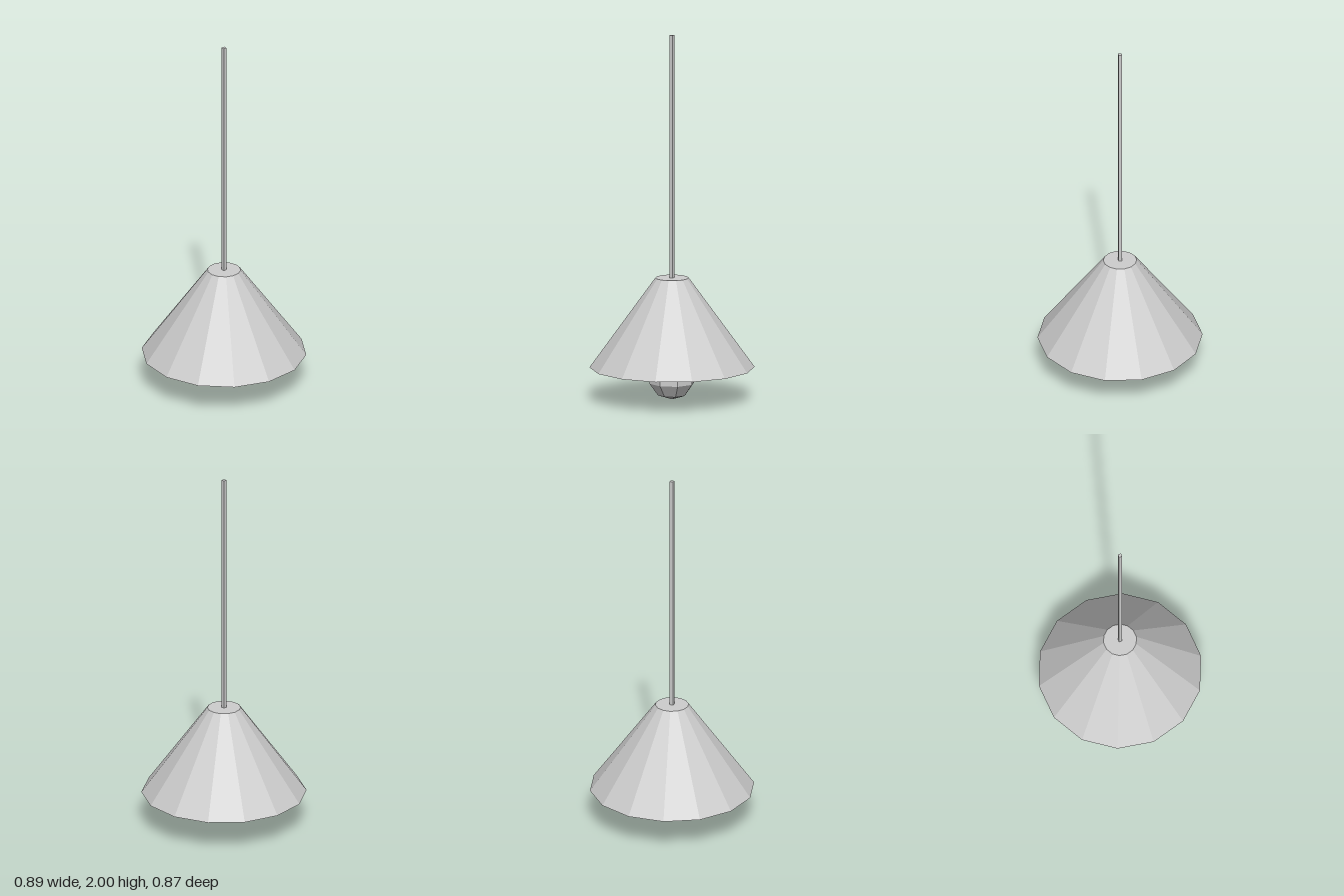
import * as THREE from 'three';

const SIDES = 14;

export function createModel() {
  const group = new THREE.Group();
  const grey = new THREE.MeshStandardMaterial({ color: 0xcccccc, flatShading: true });

  const add = (name, geometry, y) => {
    const mesh = new THREE.Mesh(geometry, grey);
    mesh.name = name;
    mesh.position.y = y;
    group.add(mesh);
    return mesh;
  };

  // Square hanging rod, turned corner-on
  add('rod', new THREE.CylinderGeometry(0.013, 0.013, 1.34, 4), 1.33);

  // Faceted shade: closed top, sloping side, thin lip and recessed underside
  const profile = [[0, 0.19], [0.425, 0.19], [0.445, 0.18], [0.09, 0.67], [0, 0.67]]
    .map(([r, y]) => new THREE.Vector2(r, y));
  const shade = add('shade', new THREE.LatheGeometry(profile, SIDES), 0);
  shade.rotation.y = Math.PI / 2;

  // Low-poly bulb, its upper half inside the shade
  add('bulb', new THREE.SphereGeometry(0.132, 8, 5), 0.135);

  return group;
}
